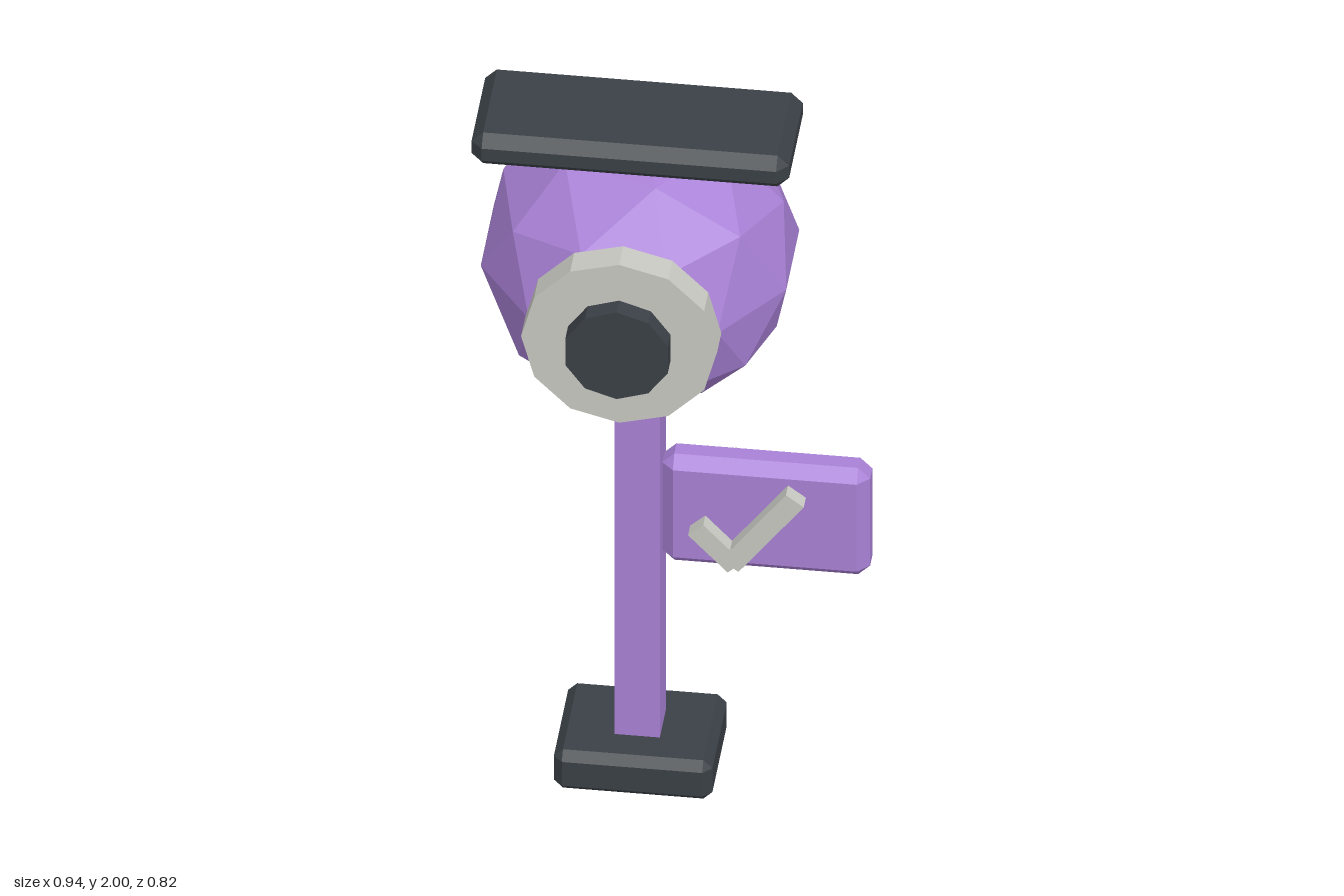
import * as THREE from 'three';
import { ConvexGeometry } from 'three/addons/geometries/ConvexGeometry.js';

const mat = (name, color) => {
  const m = new THREE.MeshStandardMaterial({ color, flatShading: true });
  m.name = name;
  return m;
};

// Box with flat chamfers on every edge, given by its min and max corners
function chamferBox(min, max, c) {
  const half = min.map((v, i) => (max[i] - v) / 2);
  const points = [];
  for (const sx of [-1, 1]) for (const sy of [-1, 1]) for (const sz of [-1, 1]) {
    const s = [sx, sy, sz];
    for (let axis = 0; axis < 3; axis++) {
      points.push(new THREE.Vector3(...s.map((v, i) => v * (half[i] - (i === axis ? 0 : c)))));
    }
  }
  const g = new ConvexGeometry(points);
  g.translate(...min.map((v, i) => (v + max[i]) / 2));
  return g;
}

export function createModel() {
  const purple = mat('purple', 0xa981d6);
  const dark = mat('charcoal', 0x3a4046);
  const grey = mat('lightGrey', 0xc8c8c2);
  const model = new THREE.Group();
  model.name = 'signalPost';
  const add = (name, geometry, material, parent = model) => {
    const mesh = new THREE.Mesh(geometry, material);
    mesh.name = name;
    parent.add(mesh);
    return mesh;
  };
  const cx = -0.089, cz = -0.023, headY = 1.54;

  // Foot and square post
  add('base', chamferBox([-0.28, 0, -0.178], [0.103, 0.115, 0.13], 0.022), dark);
  add('post', new THREE.BoxGeometry(0.11, 1.1, 0.11).translate(cx, 0.65, cz), purple);

  // Faceted head with a vertex pointing straight up
  const head = new THREE.IcosahedronGeometry(0.388, 1);
  head.rotateZ(-Math.atan(2 / (1 + Math.sqrt(5))));
  add('head', head.translate(cx, headY, cz), purple);

  // Lens on the front of the head
  const disc = (radius, sides, z0, z1) =>
    new THREE.CylinderGeometry(radius, radius, z1 - z0, sides)
      .rotateX(Math.PI / 2).translate(cx, headY, (z0 + z1) / 2);
  add('lensRing', disc(0.237, 12, 0.287, 0.362), grey);
  add('lensCentre', disc(0.13, 10, 0.34, 0.41), dark);

  // Flat canopy
  add('canopy', chamferBox([-0.47, 1.908, -0.105], [0.297, 2, 0.203], 0.028), dark);

  // Side panel with a raised check mark on both faces
  add('sidePanel', chamferBox([-0.033, 0.623, -0.077], [0.469, 0.942, 0.022], 0.029), purple);
  for (const back of [false, true]) {
    const check = new THREE.Group();
    check.name = back ? 'backCheckMark' : 'frontCheckMark';
    check.position.set(0.203, 0, -0.026);
    check.rotation.y = back ? Math.PI : 0;
    const stroke = (name, length, width, angle, x, y) => {
      const g = new THREE.BoxGeometry(length, width, 0.046);
      g.rotateZ(THREE.MathUtils.degToRad(angle)).translate(x - 0.203, y, 0.064);
      add(name, g, grey, check);
    };
    stroke('shortStroke', 0.14, 0.05, -47, 0.104, 0.717);
    stroke('longStroke', 0.262, 0.054, 53, 0.217, 0.774);
    model.add(check);
  }
  return model;
}
